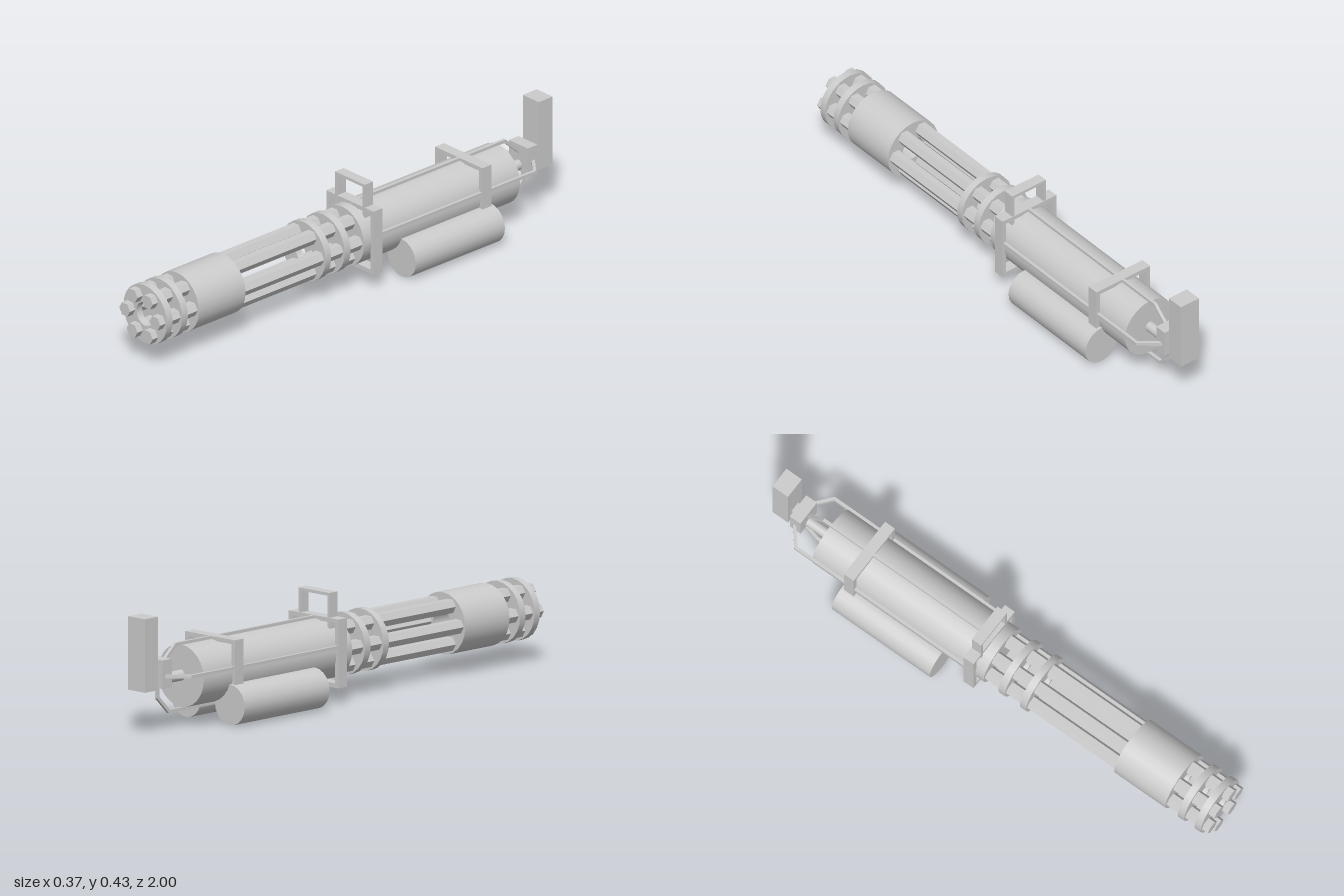
import * as THREE from 'three';

const AXIS = 0.188; // height of the barrel axis
const R = 0.115;    // radius of housing and barrel discs

export function createModel() {
  const model = new THREE.Group();
  const mat = new THREE.MeshStandardMaterial({ color: 0xcccccc });
  const flat = new THREE.MeshStandardMaterial({ color: 0xcccccc, flatShading: true });

  const add = (name, geo, material = flat) => {
    const mesh = new THREE.Mesh(geo, material);
    mesh.name = name;
    model.add(mesh);
    return mesh;
  };
  const box = (name, x0, x1, y0, y1, z0, z1) =>
    add(name, new THREE.BoxGeometry(x1 - x0, y1 - y0, z1 - z0))
      .position.set((x0 + x1) / 2, (y0 + y1) / 2, (z0 + z1) / 2);
  // Cylinder lying along z
  const rod = (name, x, y, r, z0, z1, sides, material = mat) =>
    add(name, new THREE.CylinderGeometry(r, r, z1 - z0, sides).rotateX(Math.PI / 2), material)
      .position.set(x, y, (z0 + z1) / 2);
  // Disc with a round central opening, made as a closed lathe profile
  const ring = (name, z0, z1) => {
    const inner = 0.046;
    const walls = [
      [[R, z0], [R, z1]], [[R, z1], [inner, z1]],
      [[inner, z1], [inner, z0]], [[inner, z0], [R, z0]],
    ];
    for (const wall of walls) {
      const pts = wall.map(([r, z]) => new THREE.Vector2(r, z));
      add(name, new THREE.LatheGeometry(pts, 24).rotateX(Math.PI / 2), mat).position.y = AXIS;
    }
  };
  // Square bars following a list of points
  const rail = (name, pts, w = 0.012) => {
    for (let i = 1; i < pts.length; i++) {
      const a = new THREE.Vector3(...pts[i - 1]);
      const b = new THREE.Vector3(...pts[i]);
      const bar = add(name, new THREE.BoxGeometry(w, w, a.distanceTo(b) + w * 0.4));
      bar.position.copy(a).lerp(b, 0.5);
      bar.lookAt(b);
    }
  };

  // Six hexagonal barrels
  for (let i = 0; i < 6; i++) {
    const a = (i * Math.PI) / 3;
    const hex = new THREE.CylinderGeometry(0.028, 0.028, 1.01, 6)
      .rotateY(Math.PI / 2).rotateX(Math.PI / 2);
    add('barrel', hex).position.set(0.08 * Math.cos(a), AXIS + 0.08 * Math.sin(a), 0.495);
  }

  // Barrel clamps and the long muzzle sleeve
  for (const [z0, z1] of [[0.945, 0.973], [0.87, 0.898], [0.162, 0.19], [0.066, 0.095]])
    ring('barrelClamp', z0, z1);
  ring('muzzleSleeve', 0.585, 0.815);

  // Main housing
  rod('housing', 0, AXIS, R, -0.77, 0, 24);

  // Square frame at the front of the housing
  const frame = new THREE.Shape([[-0.125, 0.06], [0.125, 0.06], [0.125, 0.313], [-0.125, 0.313]]
    .map(p => new THREE.Vector2(...p)));
  frame.holes.push(new THREE.Path([[-0.108, 0.077], [-0.108, 0.297], [0.108, 0.297], [0.108, 0.077]]
    .map(p => new THREE.Vector2(...p))));
  add('frontFrame', new THREE.ExtrudeGeometry(frame, { depth: 0.044, bevelEnabled: false }))
    .position.z = -0.082;

  // Carrying handle
  box('handleTop', -0.078, 0.078, 0.393, 0.404, -0.08, -0.038);
  // Rear bracket over the housing
  box('bracketTop', -0.125, 0.125, 0.297, 0.313, -0.619, -0.575);

  for (const s of [-1, 1]) {
    const side = (name, a, b, ...rest) => box(name, Math.min(s * a, s * b), Math.max(s * a, s * b), ...rest);
    side('handlePost', 0.067, 0.078, 0.27, 0.393, -0.08, -0.038);
    side('bracketLeg', 0.108, 0.125, 0.1, 0.297, -0.619, -0.575);
    // Canister below the housing
    rod('canister', s * 0.11, 0.076, 0.075, -0.63, -0.19, 20);
    // Side rail bending in to the rear block
    rail('sideRail', [[s * 0.117, 0.21, -0.06], [s * 0.117, 0.21, -0.84], [s * 0.045, 0.21, -0.9]]);
  }

  // Top and bottom rails
  rail('topRail', [[0, 0.307, -0.06], [0, 0.307, -0.8], [0, 0.24, -0.875]]);
  rail('bottomRail', [[0, 0.066, -0.06], [0, 0.066, -0.835], [0, 0.125, -0.893], [0, 0.18, -0.893]]);

  // Rear shaft, mounting block and upright grip
  rod('rearShaft', 0, 0.19, 0.02, -0.88, -0.76, 16);
  box('rearBlock', -0.05, 0.05, 0.166, 0.271, -0.917, -0.869);
  box('gripConnector', -0.02, 0.02, 0.175, 0.238, -0.94, -0.91);
  box('rearGrip', -0.042, 0.042, 0.163, 0.433, -1, -0.931);

  return model;
}
